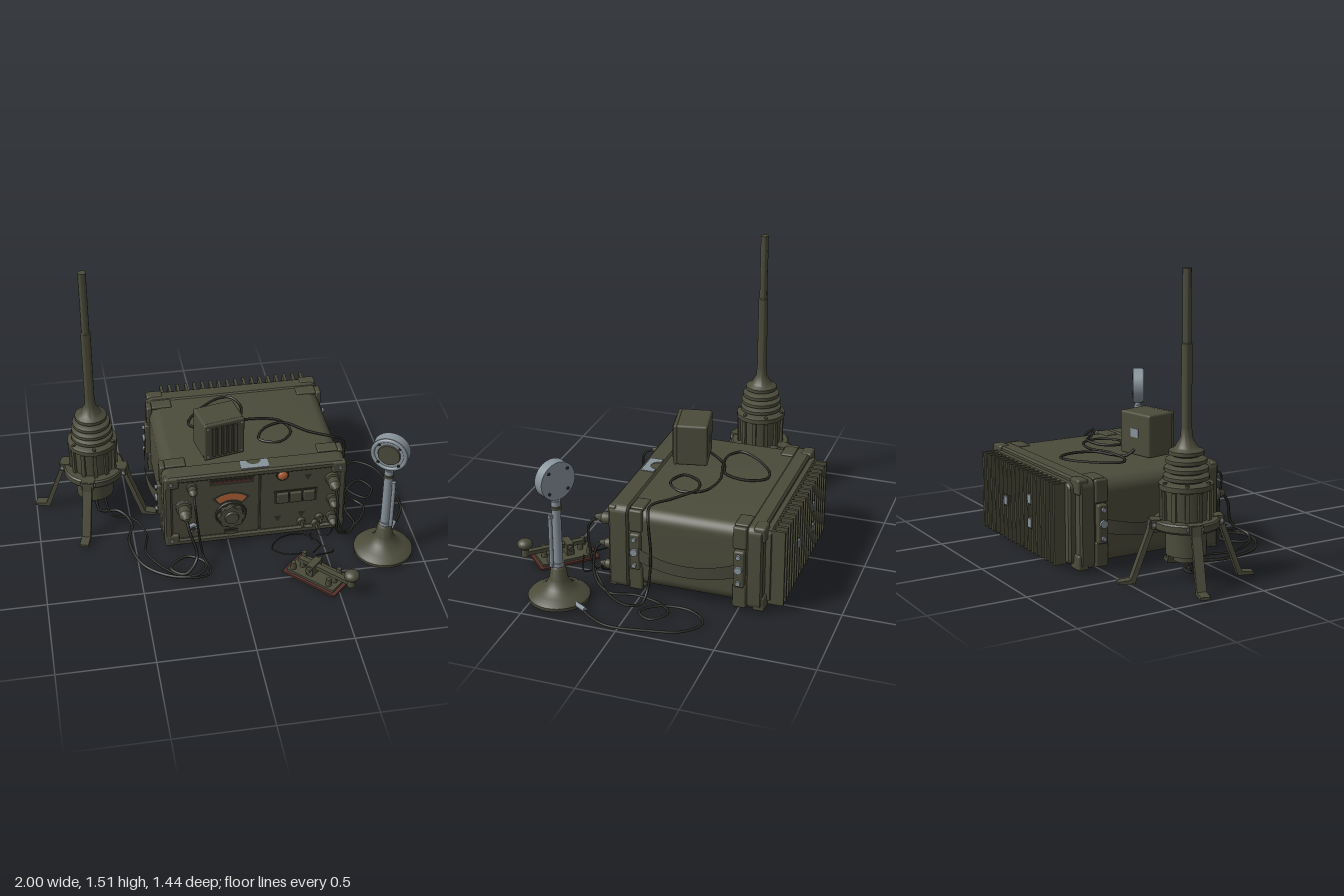
import * as THREE from 'three';
import { toCreasedNormals } from 'three/addons/utils/BufferGeometryUtils.js';
import { RoundedBoxGeometry } from 'three/addons/geometries/RoundedBoxGeometry.js';

const mat = (name, color, side = THREE.FrontSide) => {
  const m = new THREE.MeshStandardMaterial({ color, side });
  m.name = name;
  return m;
};

export function createModel() {
  const root = new THREE.Group();
  const olive = mat('olive paint', 0x4b4b3b), oliveSheet = mat('olive strap', 0x47473a, THREE.DoubleSide);
  const dark = mat('dark recess', 0x31312a), black = mat('black cable', 0x2a2a25);
  const steel = mat('grey steel', 0x87929a), orange = mat('orange glass', 0xb5643a), maroon = mat('dark red', 0x55302a);

  const group = (name, x = 0, y = 0, z = 0, ry = 0) => {
    const g = new THREE.Group();
    g.name = name; g.position.set(x, y, z); g.rotation.y = ry;
    root.add(g);
    return g;
  };
  const add = (p, name, geo, m, x = 0, y = 0, z = 0) => {
    const o = new THREE.Mesh(geo, m);
    o.name = name; o.position.set(x, y, z);
    p.add(o);
    return o;
  };
  const box = (p, name, m, w, h, d, x, y, z, r = 0) =>
    add(p, name, r ? new RoundedBoxGeometry(w, h, d, 2, r) : new THREE.BoxGeometry(w, h, d), m, x, y, z);
  const cyl = (p, name, m, r0, r1, h, x, y, z, axis = 'y', seg = 24) => {
    const g = new THREE.CylinderGeometry(r0, r1, h, seg);
    if (axis === 'z') g.rotateX(Math.PI / 2);
    if (axis === 'x') g.rotateZ(-Math.PI / 2);
    return add(p, name, g, m, x, y, z);
  };
  const lathe = (p, name, m, pts, seg = 36) =>
    add(p, name, toCreasedNormals(new THREE.LatheGeometry(pts.map(a => new THREE.Vector2(...a)), seg), 0.6), m);
  const roundRect = (w, h, r, S = THREE.Shape) => {
    const s = new S(), a = w / 2, b = h / 2;
    s.moveTo(-a + r, -b); s.lineTo(a - r, -b); s.absarc(a - r, -b + r, r, -Math.PI / 2, 0);
    s.lineTo(a, b - r); s.absarc(a - r, b - r, r, 0, Math.PI / 2);
    s.lineTo(-a + r, b); s.absarc(-a + r, b - r, r, Math.PI / 2, Math.PI);
    s.lineTo(-a, -b + r); s.absarc(-a + r, -b + r, r, Math.PI, Math.PI * 1.5);
    return s;
  };
  // Rounded slab running from z0 to z1, optionally with a window
  const slab = (p, name, m, w, h, r, z0, z1, x, y, bevel = 0.01, hole = null) => {
    const s = roundRect(w - 2 * bevel, h - 2 * bevel, r);
    if (hole) s.holes.push(roundRect(...hole, THREE.Path));
    const g = new THREE.ExtrudeGeometry(s, { depth: z1 - z0 - 2 * bevel, bevelEnabled: bevel > 0, bevelSize: bevel, bevelThickness: bevel, bevelSegments: 1, curveSegments: 6 });
    return add(p, name, toCreasedNormals(g, 0.5), m, x, y, z0 + bevel);
  };
  const cable = (p, name, r, pts) => add(p, name, new THREE.TubeGeometry(
    new THREE.CatmullRomCurve3(pts.map(a => new THREE.Vector3(...a))), pts.length * 9, r, 6), black);

  // ---------- Radio case ----------
  const cx = 0.145, cy = 0.245;
  const radio = group('radio');
  slab(radio, 'caseBody', olive, 0.96, 0.43, 0.06, -0.6, 0.1, cx, 0.25);
  slab(radio, 'frontFrame', olive, 0.98, 0.46, 0.03, 0.07, 0.175, cx, cy, 0.01, [0.91, 0.4, 0.02]);
  slab(radio, 'rearFrame', olive, 0.975, 0.455, 0.03, -0.625, -0.54, cx, cy);
  slab(radio, 'frontPanel', olive, 0.93, 0.42, 0.02, 0.1, 0.15, cx, cy, 0);
  box(radio, 'dialPanel', olive, 0.46, 0.38, 0.012, -0.07, cy, 0.153);
  box(radio, 'controlPanel', olive, 0.42, 0.38, 0.012, 0.385, cy, 0.153);
  box(radio, 'panelGap', dark, 0.012, 0.38, 0.004, 0.167, cy, 0.151);
  for (const sx of [-1, 1]) {
    const side = cx + sx * 0.48;
    for (const z of [0.03, -0.51]) {
      box(radio, 'sideBand', olive, 0.03, 0.13, 0.07, side, 0.09, z, 0.01);
      box(radio, 'sideBandUpper', olive, 0.03, 0.12, 0.07, side, 0.41, z, 0.01);
      box(radio, 'strapMount', olive, 0.045, 0.2, 0.055, side + sx * 0.006, 0.245, z, 0.01);
      for (const [y, r] of [[0.318, 0.012], [0.247, 0.02], [0.173, 0.012]])
        cyl(radio, 'strapBolt', steel, r, r, 0.02, side + sx * 0.032, y, z, 'x', 12);
      box(radio, 'topBand', olive, 0.11, 0.02, 0.07, cx + sx * 0.41, 0.464, z, 0.008);
      box(radio, 'bottomFoot', olive, 0.12, 0.03, 0.07, cx + sx * 0.38, 0.03, z, 0.008);
    }
    // Bowed carrying strap
    const g = new THREE.PlaneGeometry(0.52, 0.075, 24, 1).rotateY(Math.PI / 2), q = g.attributes.position;
    for (let i = 0; i < q.count; i++) {
      const k = 1 - (q.getZ(i) / 0.26) ** 2;
      q.setXYZ(i, sx * (0.005 + 0.035 * k), q.getY(i) * (1 - 0.15 * k) - 0.035 * k, q.getZ(i));
    }
    g.computeVertexNormals();
    add(radio, 'carryStrap', g, oliveSheet, side + sx * 0.018, 0.235, -0.24);
    // Corner guards and screws
    for (const y of [0.055, 0.437]) {
      box(radio, 'frontCorner', olive, 0.075, 0.07, 0.045, cx + sx * 0.448, y, 0.155, 0.012);
      cyl(radio, 'cornerScrew', steel, 0.01, 0.01, 0.01, cx + sx * 0.452, y, 0.18, 'z', 8);
      box(radio, 'rearCorner', olive, 0.09, 0.08, 0.06, cx + sx * 0.437, y, -0.605, 0.012);
    }
  }

  // Cooling fins
  slab(radio, 'heatSinkPlate', olive, 0.87, 0.41, 0.02, -0.66, -0.61, cx, cy);
  for (let i = 0; i < 18; i++)
    box(radio, 'coolingFin', olive, 0.016, 0.41, 0.08, -0.24 + i * 0.0475, 0.243, -0.68);
  for (const [x, y] of [[0.295, 0.245], [0.02, 0.315], [0.02, 0.19]]) {
    box(radio, 'rearSocket', olive, 0.05, 0.06, 0.07, x, y, -0.68);
    box(radio, 'rearSocketPlate', steel, 0.036, 0.045, 0.012, x, y, -0.718);
  }
  // Notched badge on the lid
  const badge = new THREE.Shape();
  badge.moveTo(-0.075, -0.035); badge.lineTo(0.075, -0.035); badge.lineTo(0.075, 0.035); badge.lineTo(0.04, 0.035);
  badge.absarc(0, 0.035, 0.04, 0, Math.PI, true); badge.lineTo(-0.075, 0.035);
  add(radio, 'lidPlate', new THREE.ExtrudeGeometry(badge, { depth: 0.004, bevelEnabled: false }).rotateX(-Math.PI / 2), steel, 0.145, 0.475, 0.12);

  // Front controls
  const fz = 0.16;
  box(radio, 'slotFrame', dark, 0.235, 0.034, 0.006, 0.018, 0.407, fz);
  box(radio, 'slotWindow', maroon, 0.205, 0.012, 0.008, 0.018, 0.408, fz + 0.001);
  const sector = (name, m, r0, r1, a, z) => add(radio, name, new THREE.RingGeometry(r0, r1, 24, 1, Math.PI / 2 - a, 2 * a), m, 0.015, 0.19, z);
  sector('dialFrame', dark, 0.085, 0.148, 0.76, fz + 0.001);
  sector('dialWindow', orange, 0.097, 0.137, 0.66, fz + 0.003);
  cyl(radio, 'dialSkirt', dark, 0.082, 0.086, 0.012, 0.015, 0.185, fz + 0.004, 'z', 32);
  const knob = new THREE.Shape();
  for (let i = 0; i <= 48; i++) {
    const a = i / 48 * Math.PI * 2, r = 0.067 + 0.006 * Math.cos(8 * a);
    knob[i ? 'lineTo' : 'moveTo'](r * Math.cos(a), r * Math.sin(a));
  }
  add(radio, 'tuningKnob', new THREE.ExtrudeGeometry(knob, { depth: 0.022, bevelSize: 0.004, bevelThickness: 0.004, bevelSegments: 1 }), olive, 0.015, 0.185, fz + 0.005);
  cyl(radio, 'knobCap', olive, 0.035, 0.04, 0.012, 0.015, 0.185, fz + 0.036, 'z');
  box(radio, 'counterFrame', dark, 0.075, 0.045, 0.008, 0.015, 0.06, fz);
  box(radio, 'counterCover', olive, 0.05, 0.022, 0.014, 0.015, 0.06, fz);
  cyl(radio, 'lampBezel', dark, 0.034, 0.036, 0.016, 0.29, 0.417, fz + 0.002, 'z');
  const lamp = add(radio, 'lampGlass', new THREE.SphereGeometry(0.027, 20, 12), orange, 0.29, 0.417, fz + 0.01);
  lamp.scale.z = 0.5;
  box(radio, 'buttonFrame', dark, 0.235, 0.085, 0.006, 0.365, 0.265, fz);
  for (let i = -1; i <= 1; i++) box(radio, 'pushButton', olive, 0.064, 0.066, 0.025, 0.365 + i * 0.072, 0.265, fz + 0.006, 0.006);
  for (const [x, y] of [[0.43, 0.39], [0.27, 0.125], [0.4, 0.14]]) {
    const t = add(radio, 'triangleMark', new THREE.CircleGeometry(0.026, 3), dark, x, y, fz + 0.001);
    t.rotation.z = -Math.PI / 2;
  }
  for (const [x, y] of [[0.4, 0.085], [0.5, 0.1], [0.48, 0.06]]) {
    cyl(radio, 'switchCollar', olive, 0.02, 0.024, 0.02, x, y, fz + 0.008, 'z', 12);
    cyl(radio, 'switchLever', olive, 0.008, 0.006, 0.05, x, y, fz + 0.03, 'z', 8);
  }
  // Plugs on the front panel
  const plug = (x, y, s, collar) => {
    const p = group('cablePlug', x, y, fz);
    const o = lathe(p, 'plugShell', olive, [[0, 0], [0.038, 0], [0.038, 0.02], [0.028, 0.024], [0.032, 0.04], [0.032, 0.07], [0.02, 0.085], [0.012, 0.11], [0, 0.11]], 16);
    o.rotation.x = Math.PI / 2; o.scale.setScalar(s);
    if (collar) cyl(p, 'plugCollar', steel, 0.043, 0.043, 0.008, 0, 0, 0.002, 'z', 16);
  };
  plug(-0.24, 0.27, 1.1, true); plug(-0.195, 0.395, 0.75); plug(0.56, 0.36, 1); plug(0.565, 0.22, 0.8); plug(0.565, 0.1, 0.8);
  cyl(radio, 'phoneJack', steel, 0.025, 0.028, 0.025, -0.19, 0.125, fz + 0.008, 'z', 6);
  cyl(radio, 'phoneJackHole', dark, 0.014, 0.014, 0.004, -0.19, 0.125, fz + 0.022, 'z', 12);
  box(radio, 'groundClip', steel, 0.03, 0.035, 0.02, -0.32, 0.06, fz + 0.006);

  // ---------- Loudspeaker ----------
  const spk = group('loudspeaker', -0.016, 0.478, -0.05, 0.2);
  box(spk, 'speakerBox', olive, 0.225, 0.225, 0.165, 0, 0.114, -0.008, 0.012);
  box(spk, 'speakerFace', olive, 0.225, 0.225, 0.022, 0, 0.114, 0.078, 0.008);
  box(spk, 'grilleRecess', dark, 0.15, 0.18, 0.004, 0, 0.114, 0.089);
  for (let i = -2; i <= 2; i++) box(spk, 'grilleBar', olive, 0.017, 0.18, 0.012, i * 0.03, 0.114, 0.092);
  for (const x of [-0.095, 0.095]) for (const y of [0.025, 0.205]) cyl(spk, 'speakerScrew', steel, 0.006, 0.006, 0.006, x, y, 0.09, 'z', 8);
  box(spk, 'rearLabel', steel, 0.06, 0.045, 0.004, 0, 0.12, -0.091);

  // ---------- Antenna ----------
  const ant = group('antenna', -0.675, 0, -0.23);
  const bellows = [[0.125, 0.495]];
  [0.112, 0.108, 0.1, 0.085].forEach((r, i) => {
    const y = 0.5 + i * 0.04;
    bellows.push([r - 0.022, y], [r, y + 0.01], [r, y + 0.028], [r - 0.022, y + 0.039]);
  });
  lathe(ant, 'antennaBase', olive, [[0, 0.105], [0.06, 0.105], [0.06, 0.13], [0.1, 0.14], [0.1, 0.265], [0.155, 0.27], [0.163, 0.28], [0.163, 0.31], [0.155, 0.318],
    [0.115, 0.32], [0.12, 0.46], [0.133, 0.465], [0.133, 0.49], ...bellows, [0.055, 0.665], [0.03, 0.71], [0.026, 0.76], [0.026, 1.16], [0.021, 1.163], [0.021, 1.515], [0, 1.515]]);
  for (let i = 0; i < 12; i++) {
    const h = new THREE.Group();
    h.name = 'drumRib'; h.rotation.y = i * Math.PI / 6; ant.add(h);
    box(h, 'rib', olive, 0.016, 0.14, 0.02, 0.122, 0.39, 0);
    if (i % 2) cyl(h, 'flangeBolt', olive, 0.01, 0.01, 0.012, 0.12, 0.498, 0, 'y', 6);
  }
  // Bent flat legs
  const legShape = new THREE.Shape([[0.13, 0.32], [0.185, 0.32], [0.19, 0.27], [0.278, 0.03], [0.338, 0.024], [0.338, 0.01], [0.258, 0.01], [0.165, 0.27], [0.13, 0.27]].map(a => new THREE.Vector2(...a)));
  for (let i = 0; i < 4; i++) {
    const l = new THREE.Group();
    l.name = 'antennaLeg'; l.rotation.y = -0.295 + i * Math.PI / 2; ant.add(l);
    add(l, 'legStrip', new THREE.ExtrudeGeometry(legShape, { depth: 0.048, bevelEnabled: false }), olive, 0, 0, -0.024);
    box(l, 'legClamp', olive, 0.05, 0.045, 0.07, 0.155, 0.3, 0);
    cyl(l, 'legPin', steel, 0.009, 0.009, 0.08, 0.168, 0.3, 0, 'z', 8);
  }

  // ---------- Microphone ----------
  const mic = group('microphone', 0.803, 0, 0.377, -0.54);
  lathe(mic, 'micBase', olive, [[0, 0.012], [0.155, 0.012], [0.157, 0.03], [0.148, 0.04], [0.11, 0.052], [0.07, 0.08], [0.047, 0.12], [0.038, 0.18], [0.03, 0.19], [0, 0.19]]);
  cyl(mic, 'micStem', steel, 0.023, 0.025, 0.36, 0, 0.37, 0);
  cyl(mic, 'micNeck', steel, 0.014, 0.018, 0.05, 0, 0.56, 0);
  cyl(mic, 'stemCollar', olive, 0.028, 0.028, 0.016, 0, 0.515, 0);
  cyl(mic, 'stemCollarLow', steel, 0.03, 0.03, 0.02, 0, 0.2, 0);
  cyl(mic, 'stemRod', steel, 0.01, 0.01, 0.29, 0.034, 0.335, 0.006, 'y', 12);
  for (const y of [0.2, 0.47]) box(mic, 'rodClamp', steel, 0.04, 0.015, 0.02, 0.022, y, 0.004);
  cyl(mic, 'micHead', steel, 0.1, 0.1, 0.056, 0, 0.665, 0, 'z', 36);
  add(mic, 'headRim', new THREE.TorusGeometry(0.087, 0.011, 8, 36), steel, 0, 0.665, 0.026);
  cyl(mic, 'micGrille', olive, 0.058, 0.062, 0.012, 0, 0.665, 0.03, 'z', 32);
  for (let i = 0; i < 4; i++) {
    const a = Math.PI / 4 + i * Math.PI / 2, x = 0.077 * Math.cos(a), y = 0.665 + 0.077 * Math.sin(a);
    for (const z of [-0.03, 0.034]) cyl(mic, 'headScrew', dark, 0.008, 0.008, 0.006, x, y, z, 'z', 8);
  }
  cyl(mic, 'cableOutlet', steel, 0.011, 0.013, 0.08, 0, 0.032, -0.175, 'z', 10);

  // ---------- Telegraph key ----------
  const key = group('telegraphKey', 0.416, 0, 0.514, -0.81);
  box(key, 'keyBoard', maroon, 0.325, 0.012, 0.18, 0, 0.006, 0);
  box(key, 'keyPlate', olive, 0.29, 0.014, 0.15, 0, 0.019, 0);
  box(key, 'keyLever', olive, 0.33, 0.022, 0.03, 0.055, 0.07, 0.008);
  box(key, 'leverBlock', olive, 0.04, 0.07, 0.09, -0.02, 0.055, 0.008);
  for (const z of [-0.04, 0.056]) cyl(key, 'pivotScrew', olive, 0.014, 0.014, 0.03, -0.02, 0.07, z, 'z', 10);
  for (const [x, z] of [[-0.12, -0.05], [-0.12, 0.05], [0.1, -0.05], [0.1, 0.05], [-0.09, 0.008], [0.11, 0.008]])
    cyl(key, 'terminalPost', olive, 0.013, 0.016, 0.045, x, 0.045, z, 'y', 12);
  cyl(key, 'knobStem', olive, 0.016, 0.022, 0.05, 0.213, 0.08, 0.01, 'y', 16);
  const cap = add(key, 'keyKnob', new THREE.SphereGeometry(0.041, 24, 14), olive, 0.213, 0.122, 0.01);
  cap.scale.y = 0.72;

  // ---------- Cables ----------
  const wires = group('cables');
  cable(wires, 'speakerCable', 0.007, [[-0.035, 0.51, -0.14], [-0.03, 0.483, -0.19], [0.03, 0.483, -0.24], [0.13, 0.483, -0.28], [0.165, 0.483, -0.4], [0.12, 0.483, -0.49], [0.05, 0.483, -0.49],
    [-0.09, 0.483, -0.38], [-0.145, 0.483, -0.28], [-0.09, 0.483, -0.23], [0.06, 0.49, -0.24], [0.2, 0.483, -0.27], [0.35, 0.483, -0.23], [0.39, 0.483, -0.12], [0.31, 0.483, -0.04],
    [0.21, 0.483, -0.08], [0.25, 0.483, -0.17], [0.36, 0.49, -0.2], [0.48, 0.483, -0.11], [0.6, 0.485, -0.035], [0.665, 0.44, -0.05], [0.675, 0.25, -0.065], [0.69, 0.06, -0.05], [0.75, 0.018, -0.04],
    [0.785, 0.018, 0.02], [0.74, 0.018, 0.12], [0.64, 0.03, 0.22], [0.57, 0.1, 0.29], [0.56, 0.3, 0.31], [0.56, 0.36, 0.26]]);
  cable(wires, 'micCable', 0.007, [[0.89, 0.03, 0.23], [0.94, 0.02, 0.16], [0.99, 0.018, 0.05], [0.97, 0.018, -0.15], [0.92, 0.018, -0.32], [0.82, 0.018, -0.385], [0.73, 0.018, -0.29], [0.74, 0.018, -0.13],
    [0.82, 0.018, -0.055], [0.87, 0.018, -0.13], [0.81, 0.03, -0.2], [0.72, 0.018, -0.13], [0.68, 0.018, 0.02], [0.7, 0.018, 0.15], [0.62, 0.05, 0.26], [0.57, 0.18, 0.27], [0.565, 0.22, 0.24]]);
  cable(wires, 'antennaCable', 0.008, [[-0.675, 0.12, -0.23], [-0.66, 0.03, -0.18], [-0.56, 0.018, -0.17], [-0.5, 0.018, -0.05], [-0.53, 0.018, 0.1], [-0.47, 0.018, 0.31], [-0.32, 0.018, 0.42],
    [-0.2, 0.018, 0.42], [-0.15, 0.018, 0.34], [-0.24, 0.018, 0.27], [-0.34, 0.02, 0.35], [-0.27, 0.03, 0.42], [-0.2, 0.08, 0.36], [-0.23, 0.22, 0.31], [-0.24, 0.27, 0.27]]);
  cable(wires, 'antennaControlCable', 0.006, [[-0.63, 0.12, -0.2], [-0.6, 0.03, -0.13], [-0.5, 0.018, -0.1], [-0.43, 0.018, 0.05], [-0.45, 0.018, 0.2], [-0.35, 0.018, 0.37], [-0.24, 0.018, 0.44],
    [-0.14, 0.018, 0.42], [-0.16, 0.05, 0.31], [-0.18, 0.2, 0.29], [-0.195, 0.36, 0.29], [-0.195, 0.395, 0.23]]);
  cable(wires, 'keyWire', 0.004, [[0.38, 0.04, 0.37], [0.29, 0.015, 0.34], [0.22, 0.015, 0.28], [0.28, 0.015, 0.2], [0.4, 0.015, 0.19], [0.48, 0.015, 0.28], [0.42, 0.04, 0.38]]);
  cable(wires, 'keyLead', 0.004, [[0.43, 0.04, 0.4], [0.54, 0.015, 0.35], [0.45, 0.015, 0.26], [0.45, 0.015, 0.19], [0.53, 0.04, 0.25], [0.565, 0.1, 0.24]]);

  return root;
}
